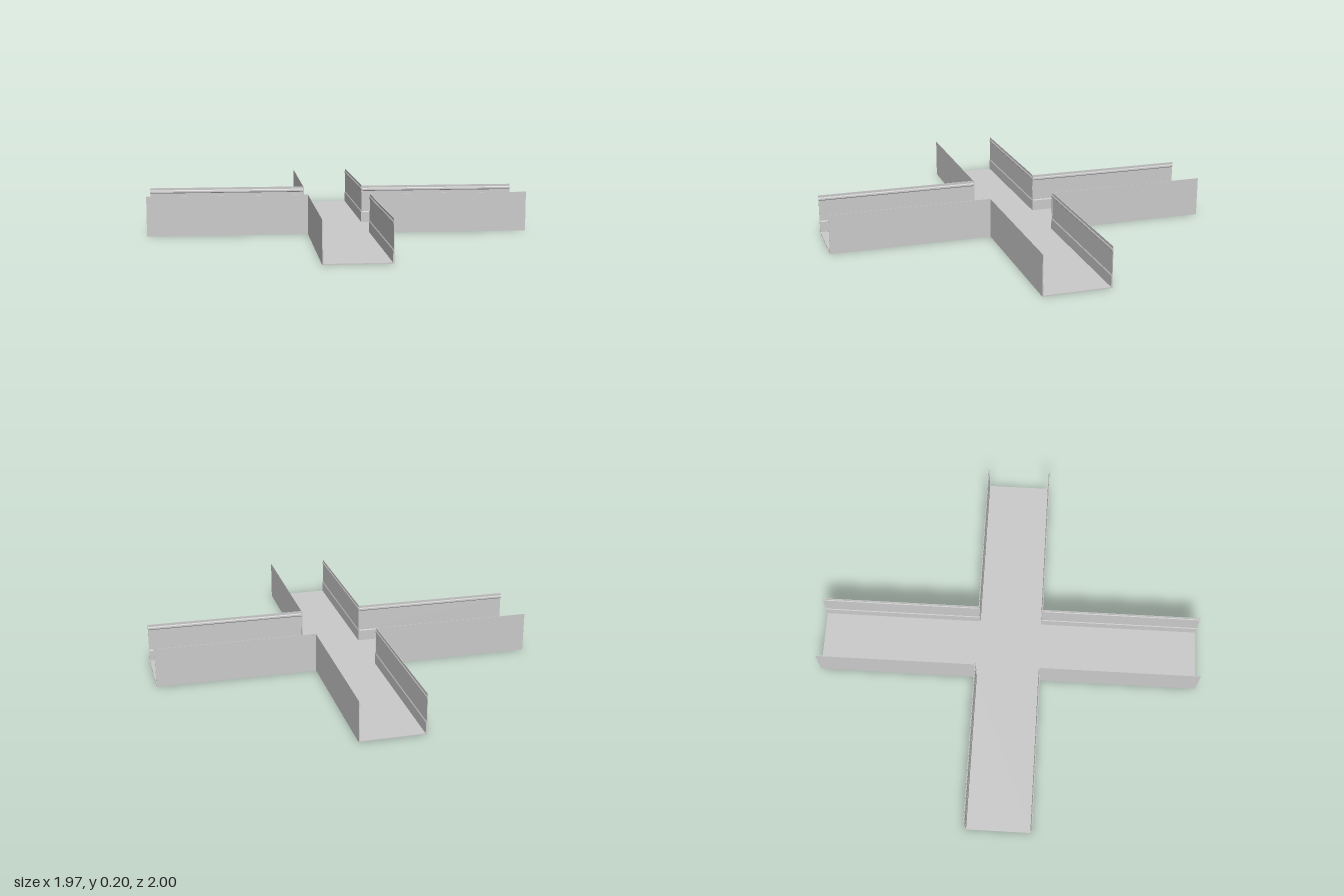
import * as THREE from 'three';

const H = 0.205, FLOOR = 0.005;
const X_END = 0.983, Z_END = 1;      // arm lengths
const X_HALF = 0.162, Z_HALF = 0.17; // outer half widths of the channels

export function createModel() {
  const group = new THREE.Group();
  group.name = 'crossChannel';
  const material = new THREE.MeshStandardMaterial({ color: 0xcccccc, flatShading: true });

  const add = (geometry, name) => {
    const mesh = new THREE.Mesh(geometry, material);
    mesh.name = name;
    group.add(mesh);
  };

  // Cross-shaped floor plate
  const a = X_HALF, b = Z_HALF;
  const plan = new THREE.Shape([
    [-a, -Z_END], [a, -Z_END], [a, -b], [X_END, -b], [X_END, b], [a, b],
    [a, Z_END], [-a, Z_END], [-a, b], [-X_END, b], [-X_END, -b], [-a, -b],
  ].map(([x, z]) => new THREE.Vector2(x, z)));
  const floor = new THREE.ExtrudeGeometry(plan, { depth: FLOOR, bevelEnabled: false });
  add(floor.rotateX(-Math.PI / 2), 'floor');

  // Wall section: flat outside, stepped foot and top rail on the inside [inset, height]
  const section = [
    [0, 0], [0.006, 0], [0.006, 0.06], [0.003, 0.066],
    [0.003, 0.176], [0.006, 0.18], [0.006, 0.188], [0.003, 0.193], [0.003, H], [0, H],
  ];
  const wall = (side, half, start, end) => {
    const shape = new THREE.Shape(section.map(([u, y]) => new THREE.Vector2(side * (half - u), y)));
    return new THREE.ExtrudeGeometry(shape, { depth: end - start, bevelEnabled: false })
      .translate(0, 0, start);
  };

  // Two walls on each of the four arms
  for (const side of [-1, 1]) {
    for (const [name, dir] of [['front', 0], ['back', Math.PI]]) {
      add(wall(side, X_HALF, Z_HALF - 0.006, Z_END).rotateY(dir), name + 'ArmWall');
    }
    for (const [name, dir] of [['left', Math.PI / 2], ['right', -Math.PI / 2]]) {
      add(wall(side, Z_HALF, X_HALF - 0.006, X_END).rotateY(dir), name + 'ArmWall');
    }
  }
  return group;
}
